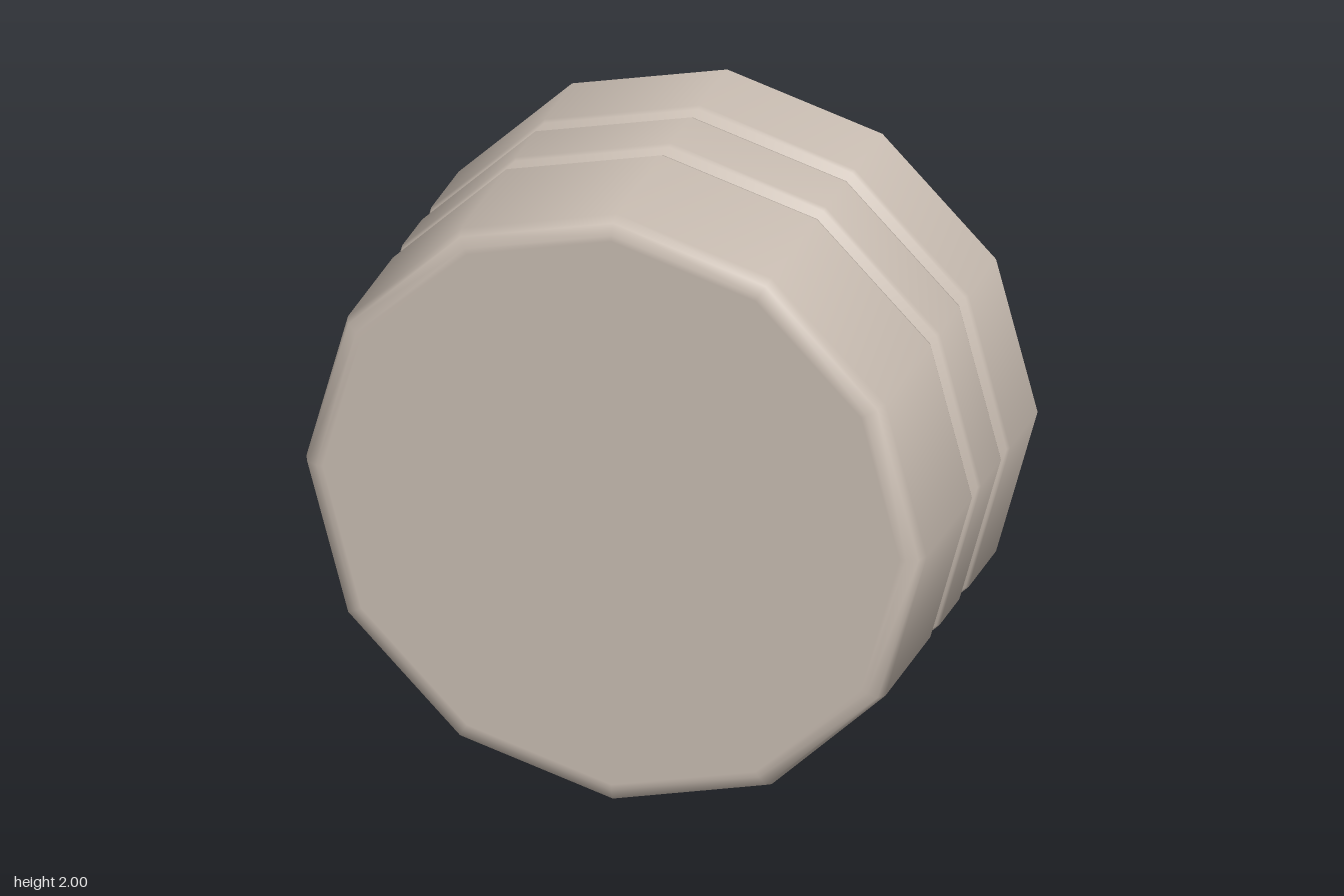
import * as THREE from 'three';

const SIDES = 12;

export function createModel() {
  const group = new THREE.Group();
  group.name = 'ribbedCap';

  const beige = new THREE.MeshStandardMaterial({ color: 0xcabeb3, side: THREE.DoubleSide });
  beige.name = 'warm beige';

  // Ring of wall turned about z, from [radius, z] points listed back to front
  function addBand(name, profile) {
    const points = profile.map(([r, z]) => new THREE.Vector2(r, z));
    const geometry = new THREE.LatheGeometry(points, SIDES).rotateX(Math.PI / 2);
    const mesh = new THREE.Mesh(geometry, beige);
    mesh.name = name;
    mesh.position.y = 1;
    group.add(mesh);
  }

  // Open rear skirt, up to the first groove
  addBand('rearBand', [[1, -0.53], [1, -0.28], [0.993, -0.265], [0.965, -0.237]]);

  // Narrow band between the two grooves
  addBand('middleBand', [
    [0.965, -0.237], [0.993, -0.21], [1, -0.195],
    [1, -0.015], [0.993, 0], [0.965, 0.028],
  ]);

  // Deep front band with a rounded front rim
  addBand('frontBand', [
    [0.965, 0.028], [0.993, 0.055], [1, 0.07],
    [1, 0.48], [0.985, 0.515], [0.95, 0.53], [0.93, 0.53],
  ]);

  // Flat closed front
  const face = new THREE.Mesh(new THREE.CircleGeometry(0.93, SIDES), beige);
  face.name = 'frontFace';
  face.position.set(0, 1, 0.53);
  group.add(face);

  return group;
}
